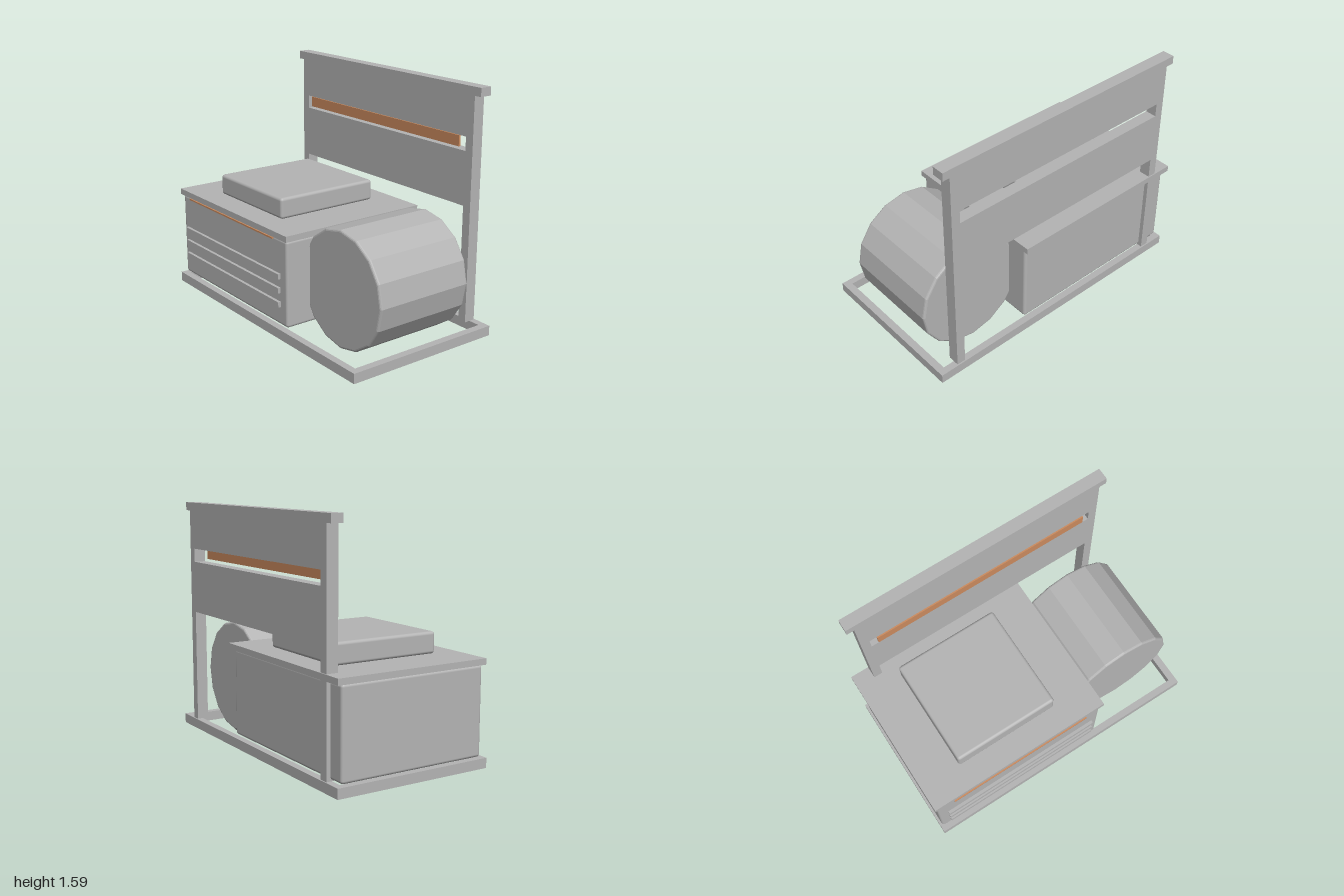
import * as THREE from 'three';
import { RoundedBoxGeometry } from 'three/addons/geometries/RoundedBoxGeometry.js';

export function createModel() {
  const model = new THREE.Group();
  model.name = 'machine';
  const grey = new THREE.MeshStandardMaterial({ name: 'grey', color: 0xb4b4b4 });
  const copper = new THREE.MeshStandardMaterial({ name: 'copper', color: 0xcb8b5e });

  const add = (name, geometry, material = grey) => {
    const mesh = new THREE.Mesh(geometry, material);
    mesh.name = name;
    model.add(mesh);
    return mesh;
  };
  // Box given by its extents; a radius rounds its edges
  const box = (name, [x0, x1], [y0, y1], [z0, z1], material = grey, radius = 0) => {
    const size = [x1 - x0, y1 - y0, z1 - z0];
    const geometry = radius
      ? new RoundedBoxGeometry(...size, 3, radius)
      : new THREE.BoxGeometry(...size);
    const mesh = add(name, geometry, material);
    mesh.position.set((x0 + x1) / 2, (y0 + y1) / 2, (z0 + z1) / 2);
    return mesh;
  };

  // Open base frame
  box('frontRail', [-1, 1], [0, 0.065], [0.5, 0.547]);
  box('backRail', [-1, 1], [0, 0.065], [-0.547, -0.5]);
  box('rightRail', [-1, -0.95], [0, 0.065], [-0.5, 0.5]);
  box('leftRail', [0.95, 1], [0, 0.065], [-0.5, 0.5]);

  // Cabinet, lid and raised cover
  box('cabinet', [-0.985, 0.285], [0.073, 0.65], [-0.51, 0.51], grey, 0.02);
  box('lid', [-1, 0.3], [0.65, 0.69], [-0.545, 0.525]);
  box('cover', [-0.715, 0.015], [0.69, 0.83], [-0.385, 0.36], grey, 0.02);

  // Front trim and louvres
  box('frontTrim', [-0.86, 0.16], [0.64, 0.65], [0.52, 0.534], copper);
  for (const y of [0.22, 0.315, 0.408]) {
    box('louvre', [-0.92, 0.225], [y - 0.018, y + 0.018], [0.517, 0.537]);
  }

  // Back board: posts, top beam, two panels and a strip in the gap
  const depth = [-0.538, -0.46];
  box('rightPost', [-0.87, -0.81], [0.065, 1.53], depth);
  box('leftPost', [0.81, 0.87], [0.065, 1.53], depth);
  box('topBeam', [-0.92, 0.92], [1.53, 1.585], [-0.542, -0.46]);
  box('upperPanel', [-0.81, 0.81], [1.27, 1.53], depth);
  box('lowerPanel', [-0.81, 0.81], [0.83, 1.18], depth);
  box('backStrip', [-0.76, 0.76], [1.2, 1.27], [-0.465, -0.451], copper);

  // Sixteen-sided drum with bevelled rims
  const bevel = 0.015;
  const points = Array.from({ length: 16 }, (_, i) => {
    const a = (i / 16) * Math.PI * 2;
    return new THREE.Vector2(Math.cos(a), Math.sin(a)).multiplyScalar(0.385 - bevel);
  });
  const drumLength = 0.692;
  const drum = add('drum', new THREE.ExtrudeGeometry(new THREE.Shape(points), {
    depth: drumLength - 2 * bevel, bevelThickness: bevel, bevelSize: bevel, bevelSegments: 3,
  }));
  drum.position.set(0.592, 0.39, -0.357 + bevel);

  // Short pipe from cabinet to drum
  const pipe = add('pipe', new THREE.CylinderGeometry(0.04, 0.04, 0.2, 20));
  pipe.rotation.z = Math.PI / 2;
  pipe.position.set(0.33, 0.61, -0.012);

  return model;
}
